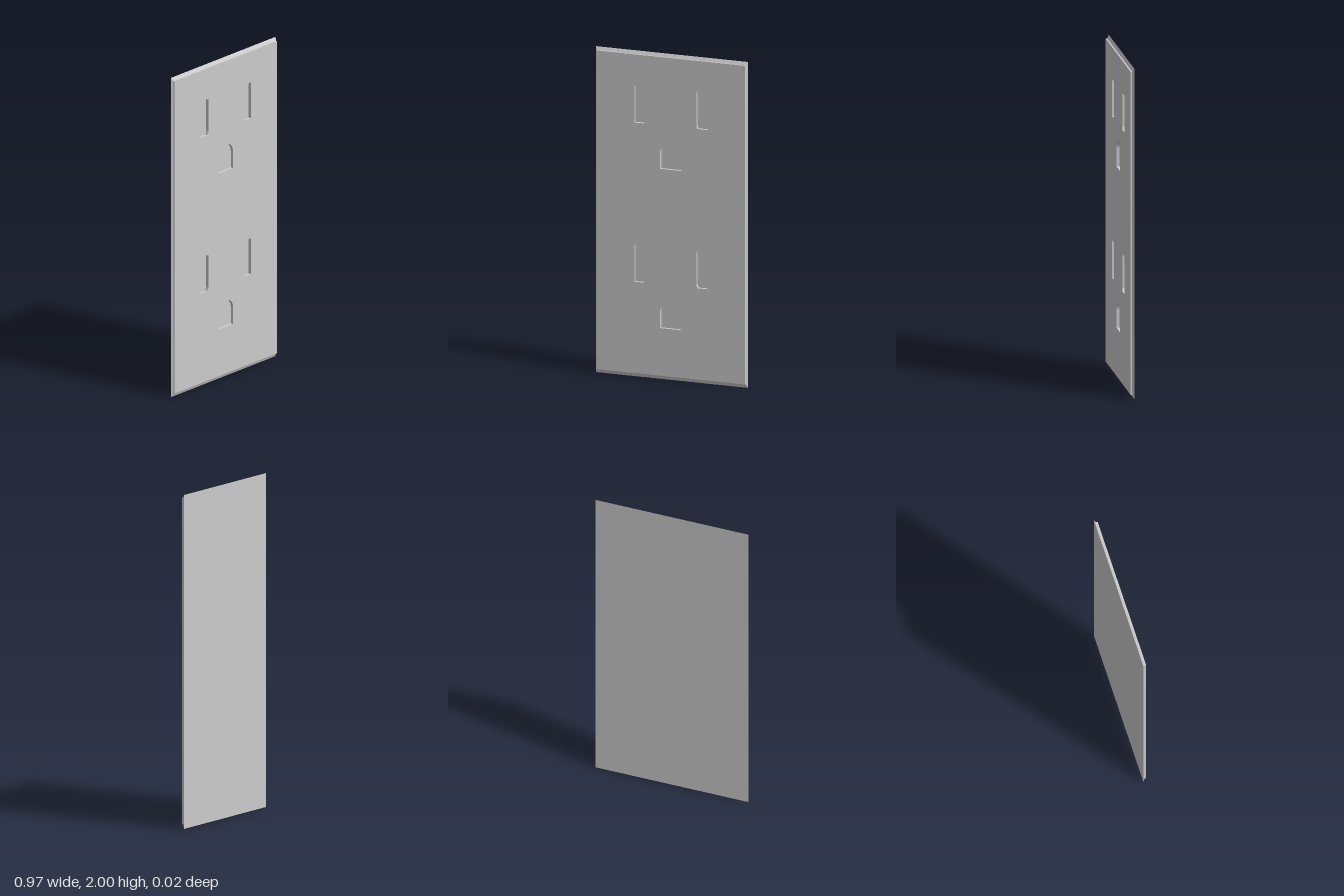
import * as THREE from 'three';

const BACK = -0.01, FLOOR = -0.008, STEP = 0.001, FRONT = 0.01;
const OUTER = [[-0.483, 0], [0.483, 0], [0.483, 2], [-0.483, 2]];
const INNER = [[-0.473, 0.025], [0.473, 0.025], [0.473, 1.98], [-0.473, 1.98]];

const toPoints = (list) => list.map(([x, y]) => new THREE.Vector2(x, y));

// Blade slot with its lower corner nearest the middle clipped
function slotHole(side, y) {
  const a = side * 0.162, b = side * 0.232, c = side * 0.008;
  return new THREE.Path(toPoints([[a, y + 0.225], [a, y + 0.02], [a + c, y], [b, y], [b, y + 0.225]]));
}

// Ground hole: flat bottom, arched top
function groundHole(y) {
  const path = new THREE.Path();
  path.moveTo(-0.067, y);
  path.lineTo(0.067, y);
  path.lineTo(0.067, y + 0.105);
  path.absellipse(0, y + 0.105, 0.067, 0.06, 0, Math.PI, false);
  path.closePath();
  return path;
}

// Sloped rim and flat back, built from two rectangular loops
function rimGeometry() {
  const pos = [];
  const quad = (a, b, c, d) => pos.push(...a, ...b, ...c, ...a, ...c, ...d);
  const back = OUTER.map(([x, y]) => [x, y, BACK]);
  const step = INNER.map(([x, y]) => [x, y, STEP]);
  for (let i = 0; i < 4; i++) {
    const j = (i + 1) % 4;
    quad(back[i], back[j], step[j], step[i]);
  }
  quad(back[3], back[2], back[1], back[0]);
  const geo = new THREE.BufferGeometry();
  geo.setAttribute('position', new THREE.Float32BufferAttribute(pos, 3));
  geo.computeVertexNormals();
  return geo;
}

export function createModel() {
  const group = new THREE.Group();
  group.name = 'outletPlate';
  const material = new THREE.MeshStandardMaterial({ color: 0xcccccc, flatShading: true });
  const add = (name, geometry) => {
    const mesh = new THREE.Mesh(geometry, material);
    mesh.name = name;
    group.add(mesh);
    return mesh;
  };

  // Face plate pierced by the two sockets
  const face = new THREE.Shape(toPoints(INNER));
  for (const y of [0, 0.977]) {
    face.holes.push(slotHole(-1, y + 0.585), slotHole(1, y + 0.585), groundHole(y + 0.317));
  }
  const plate = new THREE.ExtrudeGeometry(face, { depth: FRONT - FLOOR, bevelEnabled: false, curveSegments: 16 });
  add('facePlate', plate).position.z = FLOOR;

  // Floor of the recesses
  add('recessFloor', new THREE.ShapeGeometry(new THREE.Shape(toPoints(INNER)))).position.z = FLOOR;

  add('bevelledRim', rimGeometry());
  return group;
}
